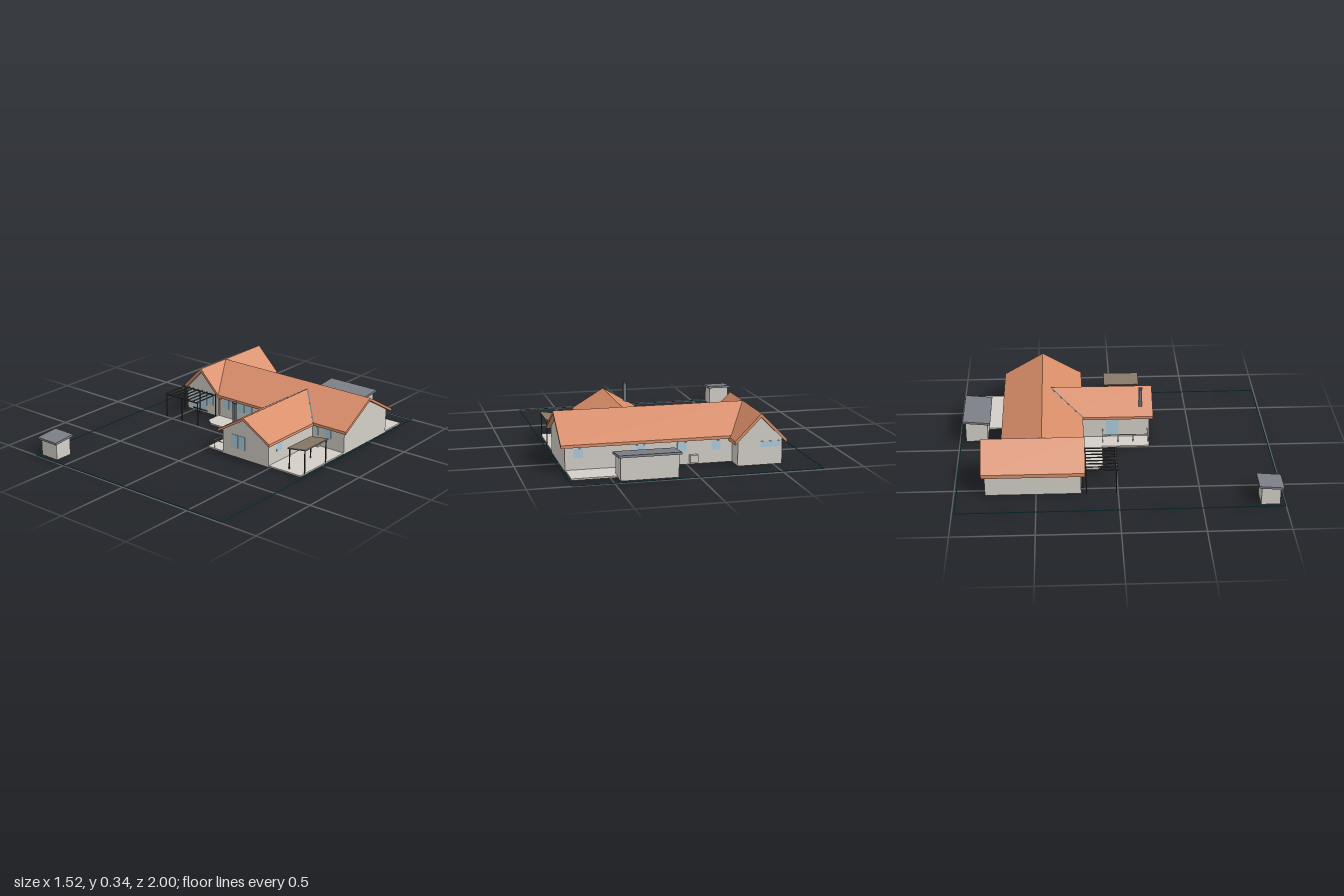
import * as THREE from 'three';

const mat = (name, color) => {
  const m = new THREE.MeshStandardMaterial({ color });
  m.name = name;
  return m;
};

export function createModel() {
  const model = new THREE.Group();
  model.name = 'bungalow';
  const wall = mat('wall', 0xd3cec7);
  const tile = mat('terracotta', 0xd88d69);
  const slate = mat('shedRoof', 0x7c7e86);
  const brown = mat('carportRoof', 0x877868);
  const metal = mat('darkMetal', 0x464244);
  const glass = mat('glass', 0xaccddc);
  const flue = mat('flue', 0x6c7885);
  const teal = mat('boundary', 0x1f7f8c);

  const add = (name, geo, material, parent = model) => {
    const mesh = new THREE.Mesh(geo, material);
    mesh.name = name;
    parent.add(mesh);
    return mesh;
  };
  // Box given by its minimum and maximum on each axis
  const box = (name, [x0, x1], [y0, y1], [z0, z1], material, parent) => {
    const mesh = add(name, new THREE.BoxGeometry(x1 - x0, y1 - y0, z1 - z0), material, parent);
    mesh.position.set((x0 + x1) / 2, (y0 + y1) / 2, (z0 + z1) / 2);
  };
  const group = (name) => {
    const g = new THREE.Group();
    g.name = name;
    model.add(g);
    return g;
  };
  const shapeOf = (pts) => new THREE.Shape(pts.map(([x, y]) => new THREE.Vector2(x, y)));
  const extrude = (pts, depth) =>
    new THREE.ExtrudeGeometry(shapeOf(pts), { depth, bevelEnabled: false });

  // Gabled block: pentagon walls and a chevron roof running along one axis
  const gabled = (name, o) => {
    const g = group(name);
    const slope = (o.ridge - o.eave) / o.roofHalf;
    const under = o.ridge - o.thick + 0.002;
    const side = under - slope * o.wallHalf;
    const walls = extrude([[-o.wallHalf, 0], [o.wallHalf, 0], [o.wallHalf, side],
      [0, under], [-o.wallHalf, side]], o.walls[1] - o.walls[0]);
    walls.translate(0, 0, o.walls[0]);
    const roof = extrude([[-o.roofHalf, o.eave - o.thick], [0, o.ridge - o.thick],
      [o.roofHalf, o.eave - o.thick], [o.roofHalf, o.eave], [0, o.ridge],
      [-o.roofHalf, o.eave]], o.roof[1] - o.roof[0]);
    // Mitre the starting end so that it follows the valleys of a crossing roof
    const p = roof.attributes.position;
    for (let i = 0; i < p.count; i++)
      if (p.getZ(i) < 1e-6) p.setZ(i, o.mitre * Math.abs(p.getX(i)));
    roof.computeVertexNormals();
    roof.translate(0, 0, o.roof[0]);
    add(name + 'Walls', walls, wall, g);
    add(name + 'Roof', roof, tile, g);
    if (o.alongX) {
      g.rotation.y = Math.PI / 2;
      g.position.z = o.centre;
    } else g.position.x = o.centre;
  };
  gabled('mainHouse', { alongX: true, centre: -0.46, wallHalf: 0.235, roofHalf: 0.26, mitre: 0.575,
    eave: 0.165, ridge: 0.315, thick: 0.018, walls: [-0.29, 0.73], roof: [-0.42, 0.757] });
  gabled('leftWing', { centre: -0.418, wallHalf: 0.137, roofHalf: 0.16, mitre: 0,
    eave: 0.155, ridge: 0.316, thick: 0.024, walls: [-0.81, -0.225], roof: [-0.83, -0.2] });
  gabled('frontWing', { centre: 0.308, wallHalf: 0.18, roofHalf: 0.203, mitre: 0,
    eave: 0.164, ridge: 0.285, thick: 0.018, walls: [-0.38, 0.23], roof: [-0.407, 0.255] });

  // Floor slab with terraces
  const slab = extrude([[-0.555, 0.225], [-0.285, 0.225], [-0.285, 0.12], [-0.23, 0.08], [0, 0.08],
    [0, -0.225], [0.727, -0.225], [0.727, 0.88], [0.27, 0.88], [0.27, 0.69], [-0.282, 0.69],
    [-0.282, 0.809], [-0.555, 0.809]], 0.01);
  slab.rotateX(-Math.PI / 2);
  add('terraceSlab', slab, wall);

  // Windows: thin glass plates on the walls
  const openings = group('windows');
  const pane = (x, y, z, w, h, turn = 0) => {
    const mesh = add('window', new THREE.BoxGeometry(w, h, 0.006), glass, openings);
    mesh.position.set(x, y, z);
    mesh.rotation.y = turn;
  };
  for (let i = 0; i < 4; i++) pane(-0.221 + i * 0.065, 0.107, -0.224, 0.05, 0.068);
  for (const x of [-0.475, -0.415]) pane(x, 0.083, -0.224, 0.058, 0.127);
  pane(-0.353, 0.108, -0.224, 0.046, 0.078);
  for (const x of [0.223, 0.279]) pane(x, 0.105, 0.23, 0.05, 0.088);
  pane(0.526, 0.08, -0.224, 0.013, 0.1);
  pane(0.602, 0.11, -0.224, 0.055, 0.06);
  pane(0.488, 0.11, 0.12, 0.055, 0.062, Math.PI / 2);
  pane(0.128, 0.08, -0.01, 0.08, 0.12, -Math.PI / 2);
  pane(-0.48, 0.125, -0.81, 0.12, 0.036, Math.PI);
  for (const x of [-0.18, 0.03, 0.28, 0.65]) pane(x, 0.108, -0.695, 0.055, 0.055, Math.PI);
  box('doorSill', [-0.505, -0.385], [0.013, 0.02], [-0.225, -0.215], metal);
  box('doorStep', [0.5, 0.55], [0.01, 0.02], [-0.225, -0.2], wall);
  box('downpipe', [-0.28, -0.272], [0.02, 0.15], [-0.222, -0.215], tile);

  // Chimney flue with cap
  box('chimney', [0.17, 0.19], [0.19, 0.325], [0.165, 0.185], flue);
  box('chimneyCap', [0.168, 0.192], [0.329, 0.336], [0.163, 0.187], flue);
  box('chimneyNeck', [0.175, 0.185], [0.325, 0.329], [0.17, 0.18], flue);

  // Valley flashings where the front wing meets the main roof
  for (const s of [-1, 1]) {
    const a = new THREE.Vector3(0.308 + s * 0.202, 0.165, -0.2);
    const b = new THREE.Vector3(0.308, 0.285, -0.407);
    const strip = add('valleyFlashing', new THREE.BoxGeometry(0.008, 0.004, a.distanceTo(b)), flue);
    strip.position.lerpVectors(a, b, 0.5);
    strip.lookAt(b);
  }

  // Pergola: posts, two beams and rafters
  const pergola = group('pergola');
  for (const z of [-0.012, -0.194]) {
    for (const x of [-0.556, -0.422, -0.287])
      box('pergolaPost', [x - 0.003, x + 0.003], [0, 0.155], [z - 0.003, z + 0.003], metal, pergola);
    box('pergolaBeam', [-0.565, -0.282], [0.154, 0.162], [z - 0.002, z + 0.002], metal, pergola);
  }
  for (let i = 0; i < 8; i++) {
    const x = -0.556 + i * 0.038;
    box('pergolaRafter', [x - 0.0015, x + 0.0015], [0.159, 0.167], [-0.2, 0], metal, pergola);
  }

  // Carport: sloping roof on four posts
  const carport = group('carport');
  for (const [x, h] of [[0.612, 0.143], [0.726, 0.16]])
    for (const z of [-0.035, 0.182])
      box('carportPost', [x - 0.003, x + 0.003], [0, h], [z - 0.003, z + 0.003], metal, carport);
  const cover = add('carportCover', new THREE.BoxGeometry(0.136, 0.007, 0.236), brown, carport);
  cover.position.set(0.667, 0.153, 0.07);
  cover.rotation.z = 0.15;

  // Sheds with walls cut to the pitch and an overhanging sloped roof
  const shed = (name, x0, x1, zFront, zBack, hFront, hBack) => {
    const g = group(name);
    const geo = extrude([[-zFront, 0], [-zBack, 0], [-zBack, hBack], [-zFront, hFront]], x1 - x0);
    geo.rotateY(Math.PI / 2);
    geo.translate(x0, 0, 0);
    add('shedWalls', geo, wall, g);
    const run = zFront - zBack;
    const roof = add('shedRoof', new THREE.BoxGeometry(x1 - x0 + 0.026, 0.014, run + 0.035), slate, g);
    roof.position.set((x0 + x1) / 2, (hFront + hBack) / 2 + 0.007, (zFront + zBack) / 2);
    roof.rotation.x = Math.atan2(hBack - hFront, run);
  };
  shed('backShed', 0.115, 0.457, -0.818, -0.96, 0.123, 0.137);
  shed('gardenShed', -0.723, -0.592, 0.967, 0.852, 0.108, 0.118);

  // Terrace railing beside the front wing
  const railing = group('railing');
  box('rail', [0.05, 0.054], [0.061, 0.065], [-0.075, 0.22], wall, railing);
  for (const z of [-0.075, 0.216])
    box('rail', [0.054, 0.13], [0.061, 0.065], [z, z + 0.004], wall, railing);
  for (const z of [-0.073, 0.025, 0.122, 0.218])
    box('railPost', [0.05, 0.054], [0.01, 0.061], [z - 0.002, z + 0.002], wall, railing);

  // Outdoor unit on the back wall
  box('outdoorUnit', [-0.065, -0.015], [0.015, 0.06], [-0.725, -0.7], wall);

  // Thin boundary line around the plot
  const corners = [[-0.758, -0.983], [0.743, -1], [0.753, 0.988], [-0.748, 0.997]];
  corners.forEach(([x, z], i) => {
    const [nx, nz] = corners[(i + 1) % 4];
    const edge = add('boundaryEdge',
      new THREE.BoxGeometry(0.005, 0.004, Math.hypot(nx - x, nz - z)), teal);
    edge.position.set((x + nx) / 2, 0.002, (z + nz) / 2);
    edge.rotation.y = Math.atan2(nx - x, nz - z);
  });
  return model;
}
